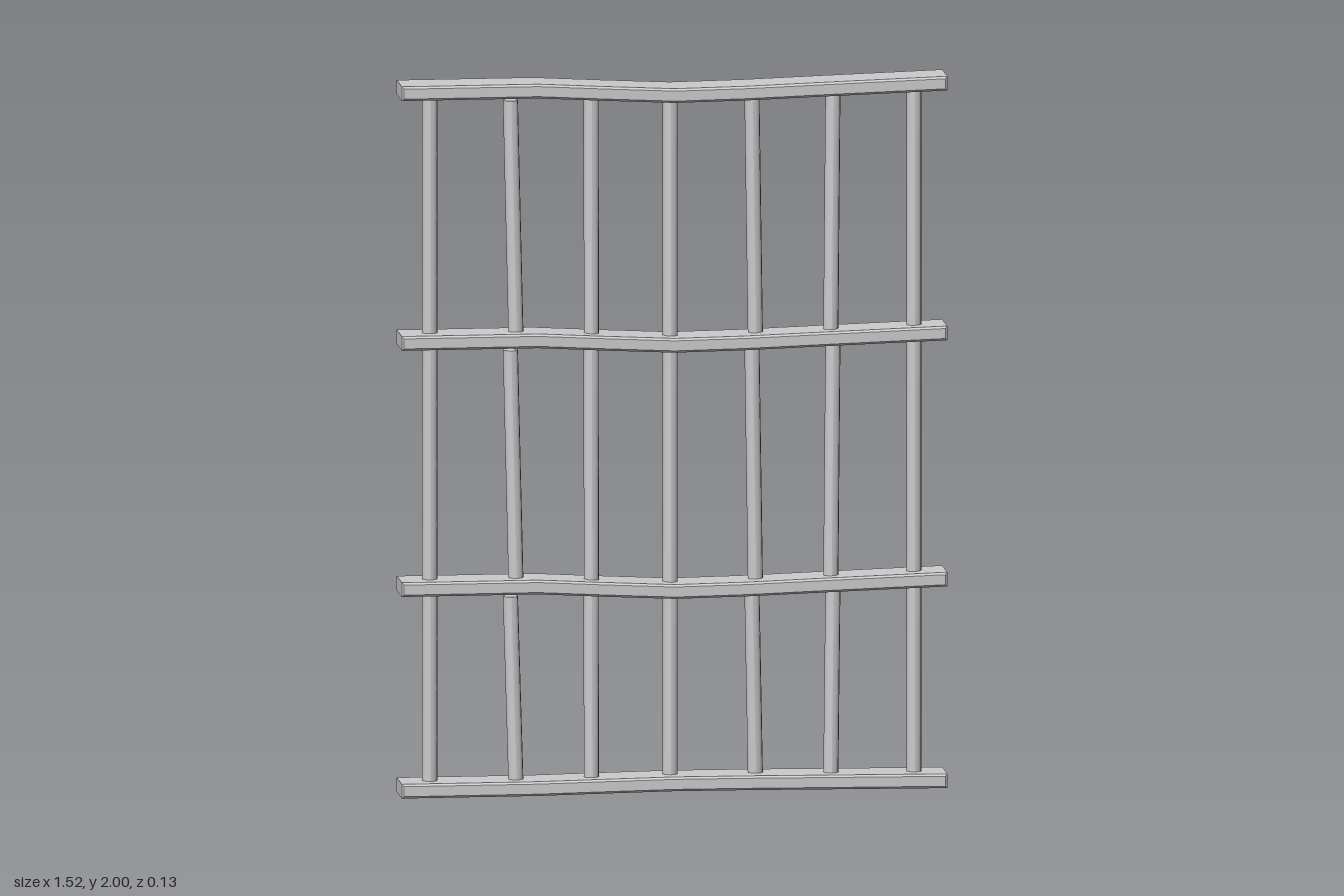
import * as THREE from 'three';

const material = new THREE.MeshStandardMaterial({ color: 0xcccccc, flatShading: true });
const smooth = new THREE.MeshStandardMaterial({ color: 0xcccccc });

const THICK = 0.04, BEVEL = 0.006, DEPTH = 0.13;

// sag of a crossbar along its length: [x, share of full sag]
const SAG = [[-0.76, 0], [-0.38, 0], [-0.2, 0.5], [0, 1], [0.2, 0.85], [0.42, 0.5], [0.76, 0]];

function sagAt(x) {
  for (let i = 1; i < SAG.length; i++) {
    const [x0, s0] = SAG[i - 1], [x1, s1] = SAG[i];
    if (x <= x1) return s0 + (s1 - s0) * (x - x0) / (x1 - x0);
  }
  return 0;
}

// bent flat plank with small bevelled edges
function crossbar(name, top, sag) {
  const inset = (x) => Math.sign(x) * Math.min(Math.abs(x), 0.76 - BEVEL);
  const upper = SAG.map(([x, s]) => new THREE.Vector2(inset(x), top - BEVEL - s * sag));
  const lower = SAG.map(([x, s]) => new THREE.Vector2(inset(x), top - THICK + BEVEL - s * sag));
  const shape = new THREE.Shape([...lower, ...upper.reverse()]);
  const geometry = new THREE.ExtrudeGeometry(shape, {
    depth: DEPTH - 2 * BEVEL, bevelThickness: BEVEL, bevelSize: BEVEL, bevelSegments: 1,
  });
  geometry.translate(0, 0, -DEPTH / 2 + BEVEL);
  const mesh = new THREE.Mesh(geometry, material);
  mesh.name = name;
  return mesh;
}

// upright rod that leans and bows slightly between two heights
function rod(name, x, lean, bow, y0, y1) {
  const geometry = new THREE.CylinderGeometry(0.021, 0.021, y1 - y0, 12, 4);
  const p = geometry.attributes.position;
  for (let i = 0; i < p.count; i++) {
    const t = p.getY(i) / (y1 - y0) + 0.5;
    p.setX(i, p.getX(i) + lean * (1 - t));
    p.setZ(i, p.getZ(i) + bow * (1 - 2 * t));
  }
  geometry.computeVertexNormals();
  geometry.translate(x, (y0 + y1) / 2, 0);
  const mesh = new THREE.Mesh(geometry, smooth);
  mesh.name = name;
  return mesh;
}

export function createModel() {
  const group = new THREE.Group();
  group.name = 'barredGrate';

  // four crossbars: [top height, sag]
  const bars = [[0.045, -0.006], [0.61, 0.02], [1.3, 0.02], [2, 0.02]];
  bars.forEach(([top, sag], i) => group.add(crossbar(`crossbar${i + 1}`, top, sag)));

  // seven rods per tier: [x at top, lean, bow, gap below the upper crossbar]
  const rods = [
    [-0.675, 0, 0, 0], [-0.45, 0.015, 0.002, 0.013], [-0.225, 0, 0.004, 0], [-0.005, 0, 0, 0],
    [0.222, 0.011, -0.005, 0], [0.449, -0.007, 0.004, 0], [0.674, 0, 0, 0],
  ];
  for (let tier = 0; tier < 3; tier++) {
    const [low, lowSag] = bars[tier], [high, highSag] = bars[tier + 1];
    rods.forEach(([x, lean, bow, gap], i) => {
      const y0 = low - lowSag * sagAt(x) - 0.015;
      const under = high - THICK - highSag * sagAt(x);
      const y1 = gap ? under - gap : under + 0.015;
      group.add(rod(`rod${tier + 1}_${i + 1}`, x, lean, bow, y0, y1));
    });
  }
  return group;
}
